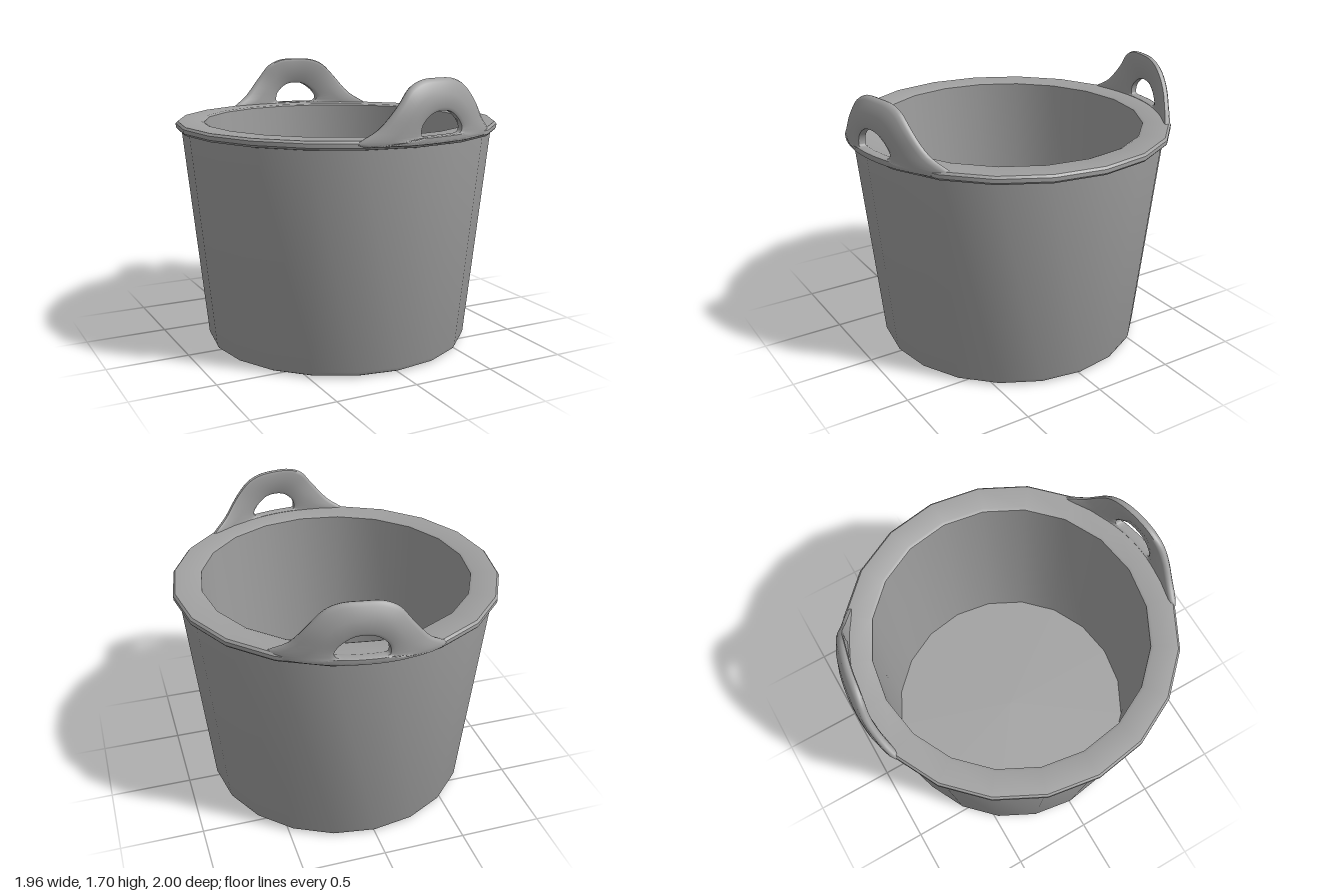
import * as THREE from 'three';
import { toCreasedNormals } from 'three/addons/utils/BufferGeometryUtils.js';

const SIDES = 20;

// Lathed tub: outside wall, rolled lip, flat rim, inside wall and floor
function tubGeometry() {
  const profile = [
    [0, 0.004], [0.785, 0.008], [0.805, 0.018], [0.815, 0.04],
    [0.948, 1.335], [0.972, 1.34], [0.982, 1.352], [0.982, 1.375], [0.97, 1.388],
    [0.83, 1.388], [0.812, 1.38],
    [0.787, 0.05], [0, 0.05],
  ].map(([r, y]) => new THREE.Vector2(r, y));
  return toCreasedNormals(new THREE.LatheGeometry(profile, SIDES), 0.6);
}

// Matching points around the grip: [edge x, edge y, hole x, hole y]
const GRIP = [
  [-0.34, 1.365, 0.01, 1.4], [-0.23, 1.445, 0.005, 1.425], [-0.12, 1.57, 0.015, 1.46],
  [-0.05, 1.655, 0.045, 1.495], [0.03, 1.693, 0.085, 1.52], [0.14, 1.7, 0.14, 1.53],
  [0.25, 1.693, 0.2, 1.522], [0.33, 1.66, 0.245, 1.495], [0.41, 1.58, 0.28, 1.46],
  [0.51, 1.455, 0.298, 1.425], [0.62, 1.365, 0.285, 1.4], [0.42, 1.352, 0.22, 1.395],
  [0.14, 1.352, 0.14, 1.395], [-0.14, 1.352, 0.07, 1.395],
];
// Section from hole to edge and back: [fraction, depth]
const SECTION = [
  [0, 0.01], [0.1, 0], [0.5, 0], [0.88, 0.004], [0.97, 0.013], [1, 0.026],
  [0.97, 0.042], [0.88, 0.052], [0.5, 0.058], [0.1, 0.06], [0, 0.05],
];

// Grip bent around the rim; side is +1 for front, -1 for back
function gripGeometry(side) {
  const spline = (a) => new THREE.CatmullRomCurve3(
    GRIP.map((p) => new THREE.Vector3(p[a], p[a + 1], 0)), true);
  const edge = spline(0), hole = spline(2);
  const n = 56, m = SECTION.length, pos = [], idx = [];
  for (let i = 0; i < n; i++) {
    const e = edge.getPoint(i / n), h = hole.getPoint(i / n);
    for (const [s, depth] of SECTION) {
      const p = h.clone().lerp(e, s);
      const lean = 0.04 * (Math.max(0, p.y - 1.5) / 0.2) ** 2;
      const radius = 1 - 0.02 * ((p.x + 0.05) / 0.6) ** 2 - lean;
      const z = Math.sqrt(radius * radius - p.x * p.x) - depth;
      pos.push(p.x, p.y, side * z);
    }
  }
  for (let i = 0; i < n; i++) {
    for (let j = 0; j < m; j++) {
      const i2 = (i + 1) % n, j2 = (j + 1) % m;
      const a = i * m + j, b = i2 * m + j, c = i2 * m + j2, d = i * m + j2;
      if (side > 0) idx.push(a, b, c, a, c, d);
      else idx.push(a, c, b, a, d, c);
    }
  }
  const g = new THREE.BufferGeometry();
  g.setAttribute('position', new THREE.Float32BufferAttribute(pos, 3));
  g.setIndex(idx);
  return toCreasedNormals(g, 0.9);
}

export function createModel() {
  const rubber = new THREE.MeshStandardMaterial({ color: 0xa0a0a0 });
  rubber.name = 'grey rubber';
  const model = new THREE.Group();
  model.name = 'bucket';
  const add = (name, geometry) => {
    const mesh = new THREE.Mesh(geometry, rubber);
    mesh.name = name;
    model.add(mesh);
  };
  add('tub', tubGeometry());
  add('frontHandle', gripGeometry(1));
  add('backHandle', gripGeometry(-1));
  return model;
}
